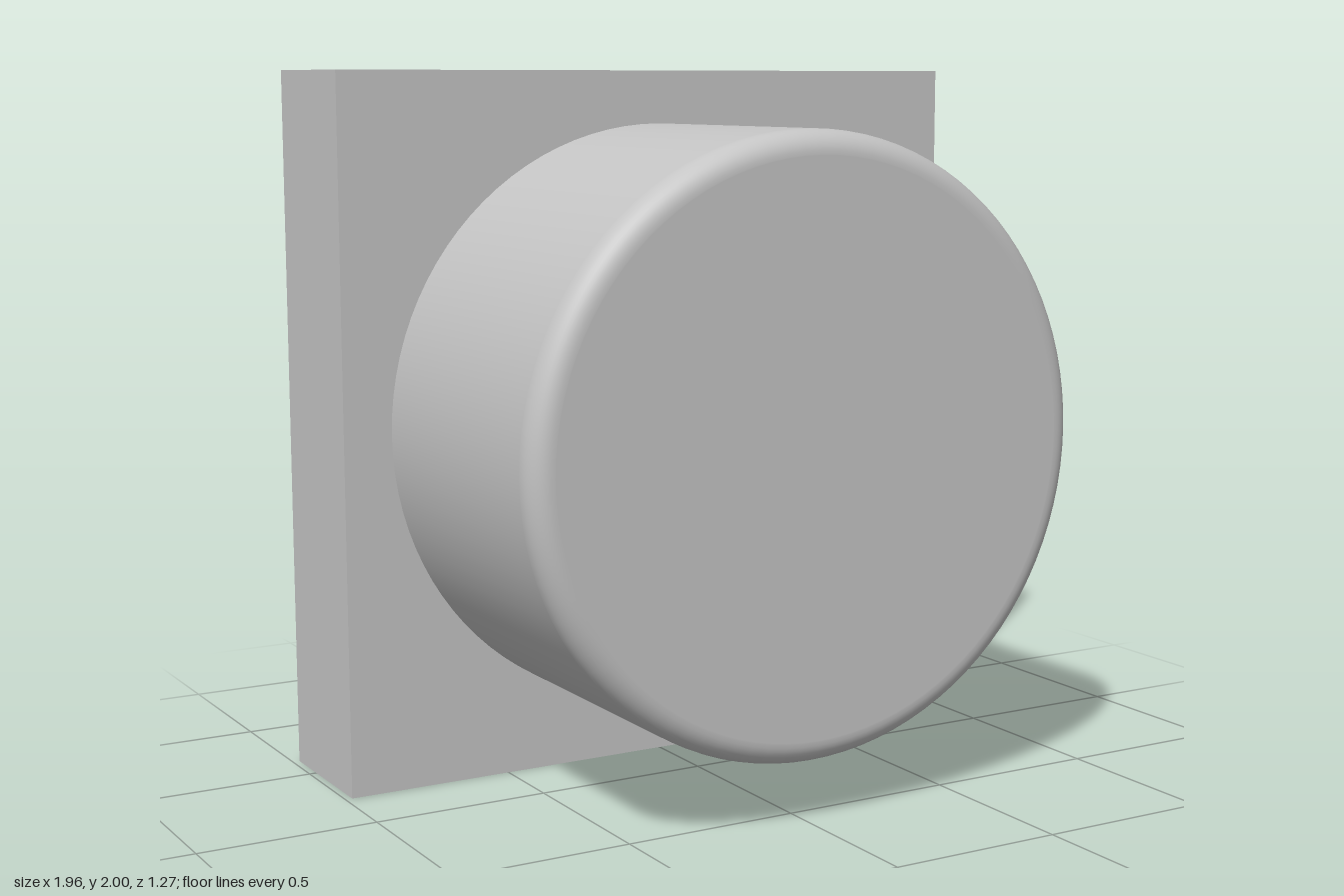
import * as THREE from 'three';

export function createModel() {
  const model = new THREE.Group();
  model.name = 'pushButton';
  const grey = new THREE.MeshStandardMaterial({ name: 'light grey', color: 0xc4c4c4 });

  const front = 0.635, plateFront = -0.225;

  // Square backing plate
  const plateDepth = plateFront + front;
  const plate = new THREE.Mesh(new THREE.BoxGeometry(1.96, 2, plateDepth), grey);
  plate.name = 'basePlate';
  plate.position.set(0, 1, plateFront - plateDepth / 2);
  model.add(plate);

  // Round knob with a filleted front rim; the short runs beside the fillet keep wall and face shading clean
  const radius = 0.84, fillet = 0.065, steps = 10, run = 0.003;
  const profile = [
    new THREE.Vector2(radius, plateFront),
    new THREE.Vector2(radius, front - fillet - run),
  ];
  for (let i = 0; i <= steps; i++) {
    const a = (i / steps) * Math.PI / 2;
    profile.push(new THREE.Vector2(
      radius - fillet + fillet * Math.cos(a),
      front - fillet + fillet * Math.sin(a)));
  }
  profile.push(new THREE.Vector2(radius - fillet - run, front), new THREE.Vector2(0, front));

  const knobGeometry = new THREE.LatheGeometry(profile, 96);
  knobGeometry.rotateX(Math.PI / 2);
  const knob = new THREE.Mesh(knobGeometry, grey);
  knob.name = 'knob';
  knob.position.y = 1.01;
  model.add(knob);

  return model;
}
